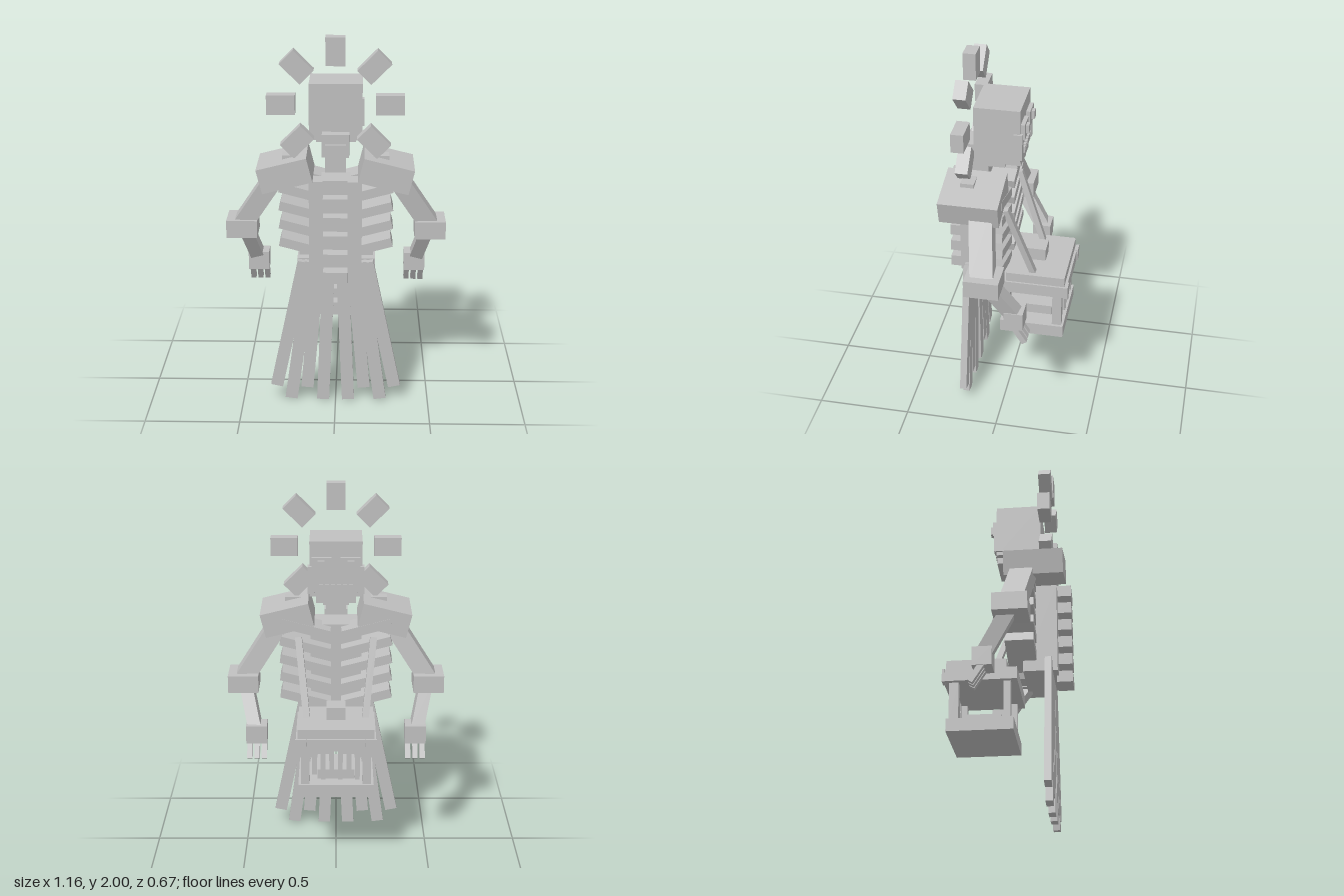
import * as THREE from 'three';

export function createModel() {
  const root = new THREE.Group();
  root.name = 'skeletonMusician';
  const bone = new THREE.MeshStandardMaterial({ color: 0xc0c0c0 });
  bone.name = 'bone grey';

  const add = (name, geometry) => {
    const mesh = new THREE.Mesh(geometry, bone);
    mesh.name = name;
    root.add(mesh);
    return mesh;
  };
  // Box given by its extents on each axis
  const box = (name, x0, x1, y0, y1, z0, z1) => {
    const m = add(name, new THREE.BoxGeometry(Math.abs(x1 - x0), y1 - y0, z1 - z0));
    m.position.set((x0 + x1) / 2, (y0 + y1) / 2, (z0 + z1) / 2);
    return m;
  };
  // Box turned about z
  const tilted = (name, x, y, z, w, h, d, angle) => {
    const m = add(name, new THREE.BoxGeometry(w, h, d));
    m.position.set(x, y, z);
    m.rotation.z = angle;
    return m;
  };
  // Square bar running between two points
  const bar = (name, a, b, w, d) => {
    const p = new THREE.Vector3(...a), q = new THREE.Vector3(...b);
    const m = add(name, new THREE.BoxGeometry(w, p.distanceTo(q), d));
    m.position.copy(p).add(q).multiplyScalar(0.5);
    const up = p.sub(q).normalize();
    const side = new THREE.Vector3().crossVectors(up, new THREE.Vector3(0, 0, 1)).normalize();
    m.quaternion.setFromRotationMatrix(
      new THREE.Matrix4().makeBasis(side, up, new THREE.Vector3().crossVectors(side, up)));
    return m;
  };

  // Skull, which looks towards -z
  box('skull', -0.137, 0.137, 1.455, 1.75, -0.063, 0.178);
  box('jaw', -0.105, 0.105, 1.42, 1.47, -0.062, 0.09);
  for (let i = 0; i < 6; i++) {
    const x = (i - 2.5) * 0.031;
    box('tooth', x - 0.01, x + 0.01, 1.49, 1.525, -0.077, -0.06);
  }
  box('neck', -0.07, 0.07, 1.38, 1.5, 0.03, 0.24);
  box('neckVertebra', -0.053, 0.053, 1.305, 1.45, 0.12, 0.255);

  // Seven crown blocks in an open ring behind the skull
  for (let i = -3; i <= 3; i++) {
    const a = i * Math.PI / 4;
    tilted('crownBlock', 0.277 * Math.sin(a), 1.655 + 0.273 * Math.cos(a), 0.213,
      0.1, 0.145, 0.066, -a);
  }

  // Torso and spine
  box('torso', -0.137, 0.137, 0.76, 1.255, 0.08, 0.26);
  for (let i = 0; i < 6; i++) {
    const y = 0.755 + i * 0.1;
    box('vertebra', -0.063, 0.063, y - 0.031, y + 0.031, 0.25, 0.333);
  }

  for (const s of [-1, 1]) {
    // Eye sockets, eyes and cheekbones
    box('eyeSocket', s * 0.022, s * 0.125, 1.585, 1.67, -0.084, -0.06);
    box('eye', s * 0.06, s * 0.095, 1.61, 1.655, -0.1, -0.08);
    box('cheekbone', s * 0.113, s * 0.147, 1.475, 1.62, -0.075, -0.03);

    // Ribs rise towards their outer ends
    for (let i = 0; i < 5; i++) {
      tilted('rib', s * 0.165, 0.853 + i * 0.1, 0.075, 0.27, 0.05, 0.15, s * 0.26);
    }

    // Shoulder, arm and hand
    tilted('shoulder', s * 0.26, 1.3, 0.157, 0.265, 0.13, 0.31, -s * 0.245);
    box('shoulderStud', s * 0.16, s * 0.275, 1.32, 1.385, 0.15, 0.22);
    bar('upperArm', [s * 0.3, 1.27, 0.105], [s * 0.495, 0.97, 0.06], 0.1, 0.12);
    box('elbow', s * 0.417, s * 0.58, 0.905, 1.0, -0.035, 0.145);
    bar('forearm', [s * 0.49, 0.95, 0.05], [s * 0.43, 0.71, -0.1], 0.07, 0.08);
    box('hand', s * 0.37, s * 0.482, 0.655, 0.755, -0.143, -0.042);
    for (let i = 0; i < 3; i++) {
      const x = s * (0.386 + i * 0.039);
      bar('finger', [x, 0.67, -0.09], [x, 0.572, -0.152], 0.028, 0.03);
    }

    // Skirt strips: top x, bottom x, bottom y
    const strips = [[0.035, 0.068, 0.004], [0.09, 0.153, 0.076],
      [0.13, 0.24, 0.01], [0.166, 0.318, 0.085]];
    for (const [top, bottom, y] of strips) {
      bar('skirtStrip', [s * top, 0.805, 0.216], [s * bottom, y, 0.216], 0.066, 0.036);
    }

    // Straps that carry the instrument
    bar('strap', [s * 0.2, 1.21, 0.0], [s * 0.155, 0.79, -0.145], 0.036, 0.03);

    // Corner posts of the instrument
    box('backPost', s * 0.14, s * 0.185, 0.48, 0.7, -0.018, 0.02);
    box('frontPost', s * 0.14, s * 0.185, 0.48, 0.7, -0.3, -0.25);
    box('lidCorner', s * 0.155, s * 0.213, 0.69, 0.76, -0.335, -0.32);
  }

  // Instrument cabinet
  box('lid', -0.21, 0.21, 0.692, 0.758, -0.328, 0.055);
  box('lidTop', -0.2, 0.2, 0.758, 0.81, -0.315, 0);
  box('lidKnob', -0.05, 0.05, 0.81, 0.88, -0.188, -0.08);
  box('base', -0.2, 0.2, 0.42, 0.49, -0.312, 0.035);
  box('innerBlock', -0.1, 0.1, 0.49, 0.545, -0.235, -0.038);
  for (let i = 0; i < 6; i++) {
    const x = (i - 2.5) * 0.045;
    box('pipe', x - 0.013, x + 0.013, i % 2 ? 0.55 : 0.52, 0.7, -0.308, -0.28);
  }
  return root;
}
